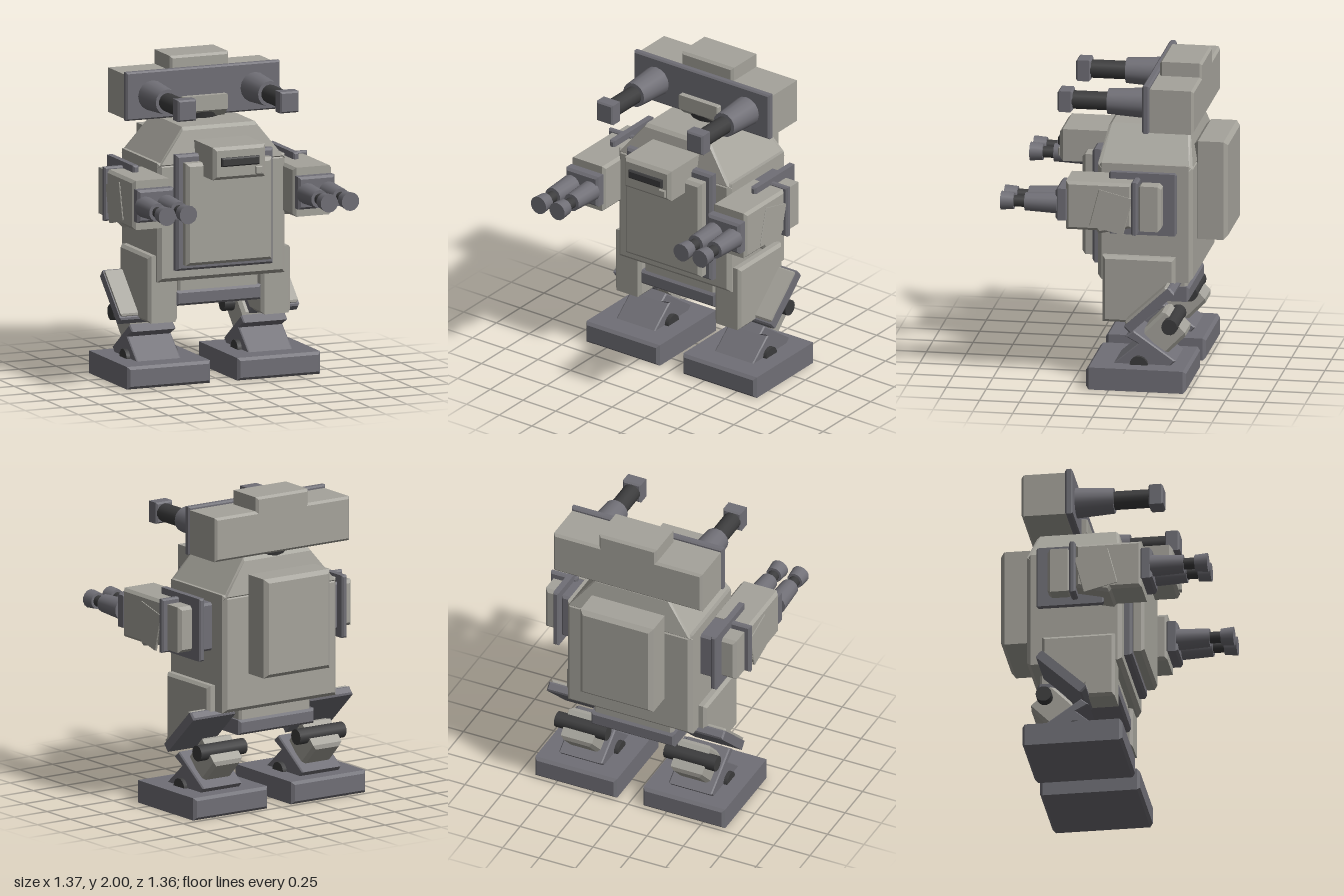
import * as THREE from 'three';

const mat = (name, color) => Object.assign(new THREE.MeshStandardMaterial({ color }), { name });

export function createModel() {
  const light = mat('light armour grey', 0xa5a39b);
  const dark = mat('dark frame grey', 0x706f76);
  const black = mat('black metal', 0x3c3c3d);
  const root = new THREE.Group();
  root.name = 'walkerRobot';

  const group = (name, parent = root) => {
    const g = new THREE.Group();
    g.name = name;
    parent.add(g);
    return g;
  };
  const add = (parent, name, geo, material) => {
    const m = new THREE.Mesh(geo, material);
    m.name = name;
    parent.add(m);
    return m;
  };
  // outline extruded with chamfered edges, kept within its nominal size
  const chamfered = (pts, depth, c) => new THREE.ExtrudeGeometry(
    new THREE.Shape(pts.map(p => new THREE.Vector2(...p))), {
      depth: depth - 2 * c, bevelEnabled: c > 0, bevelSegments: 1,
      bevelSize: c, bevelThickness: c, bevelOffset: -c,
    }).translate(0, 0, c);
  // box given by its ranges
  const box = ([x0, x1], [y0, y1], [z0, z1], c = 0.015) =>
    chamfered([[x0, y0], [x1, y0], [x1, y1], [x0, y1]], z1 - z0, c).translate(0, 0, z0);
  // side profile of (z, y) points swept across x
  const prism = (pts, [x0, x1], c = 0.012) =>
    chamfered(pts, x1 - x0, c).rotateY(-Math.PI / 2).translate(x1, 0, 0);
  // round part along z, from zBack to zFront
  const barrel = (x, y, [zb, zf], rBack, rFront, sides = 14) =>
    new THREE.CylinderGeometry(rFront, rBack, zf - zb, sides).toNonIndexed()
      .rotateX(Math.PI / 2).translate(x, y, (zb + zf) / 2);
  // round rod along x
  const rod = ([x0, x1], y, z, r) =>
    new THREE.CylinderGeometry(r, r, x1 - x0, 14).rotateZ(Math.PI / 2).translate((x0 + x1) / 2, y, z);

  // torso
  const torso = group('torso');
  add(torso, 'body', box([-0.43, 0.43], [0.65, 1.4], [-0.49, 0.105], 0.025), light);
  const hood = box([-0.43, 0.43], [1.37, 1.61], [-0.49, 0.105], 0.02);
  const p = hood.attributes.position;
  for (let i = 0; i < p.count; i++) {
    const t = Math.max(0, (p.getY(i) - 1.39) / 0.22);
    p.setX(i, p.getX(i) * (1 - 0.43 * t));
    p.setZ(i, -0.195 + (p.getZ(i) + 0.195) * (1 - 0.15 * t));
  }
  hood.computeVertexNormals();
  add(torso, 'shoulderHood', hood, light);
  add(torso, 'chestFrame', box([-0.33, 0.325], [0.725, 1.455], [0.09, 0.155]), dark);
  add(torso, 'chestPanel', box([-0.29, 0.29], [0.765, 1.41], [0.14, 0.225], 0.02), light);
  add(torso, 'chestBox', box([-0.178, 0.175], [1.325, 1.53], [0.04, 0.385], 0.02), light);
  add(torso, 'chestSlot', box([-0.13, 0.125], [1.41, 1.465], [0.37, 0.405], 0.008), black);
  add(torso, 'chestButton', box([0.1, 0.146], [1.35, 1.397], [0.37, 0.4], 0.005), light);
  add(torso, 'backpack', box([-0.25, 0.25], [0.885, 1.515], [-0.68, -0.47], 0.025), light);
  add(torso, 'pelvisBlock', box([-0.27, 0.27], [0.55, 0.67], [-0.43, 0.045]), light);
  add(torso, 'pelvisPlate', box([-0.29, 0.285], [0.485, 0.58], [-0.445, 0.06]), dark);

  // head
  const head = group('head');
  add(head, 'neck', new THREE.CylinderGeometry(0.155, 0.11, 0.14, 16).translate(0, 1.58, -0.31), black);
  add(head, 'headBox', box([-0.51, 0.51], [1.63, 1.91], [-0.51, -0.22]), light);
  add(head, 'headCap', box([-0.198, 0.198], [1.85, 2], [-0.51, -0.245]), light);
  add(head, 'facePlate', box([-0.52, 0.518], [1.625, 1.93], [-0.235, -0.188], 0.01), dark);
  add(head, 'chin', prism([[-0.2, 1.615], [-0.15, 1.66], [-0.15, 1.755], [-0.2, 1.755]], [-0.15, 0.15], 0.006), light);

  for (const s of [-1, 1]) {
    const side = s > 0 ? 'left' : 'right';
    const X = (a, b) => (s > 0 ? [a, b] : [-b, -a]);

    // telescopic eyes
    const eye = group(side + 'Eye', head);
    add(eye, 'eyeHousing', barrel(s * 0.345, 1.775, [-0.2, 0.05], 0.096, 0.08, 16), dark);
    add(eye, 'eyeTube', barrel(s * 0.345, 1.775, [0.04, 0.28], 0.058, 0.058), black);
    add(eye, 'eyeBlock', box(X(0.283, 0.407), [1.708, 1.842], [0.268, 0.36], 0.01), dark);

    // arm with twin guns
    const arm = group(side + 'Arm');
    add(arm, 'shoulderBlock', box(X(0.41, 0.53), [1.03, 1.335], [-0.36, -0.04]), dark);
    add(arm, 'shoulderPlate', box(X(0.522, 0.56), [0.985, 1.382], [-0.41, 0.012], 0.01), dark);
    add(arm, 'forearm', prism([[0.265, 1.03], [0.265, 1.34], [-0.15, 1.34], [-0.15, 1.055],
      [0.06, 1.01], [0.075, 1.03]], X(0.413, 0.67), 0.018), light);
    add(arm, 'elbowPlate', box(X(0.5, 0.685), [1.015, 1.355], [-0.187, -0.146], 0.01), dark);
    add(arm, 'elbowBox', box(X(0.54, 0.655), [1.035, 1.325], [-0.328, -0.18], 0.02), light);
    const wedge = box(X(0.66, 0.676), [-0.121, 0.121], [-0.11, 0.11], 0.004);
    const guard = add(arm, 'elbowGuard', wedge, light);
    guard.position.set(0, 1.155, -0.02);
    guard.rotation.x = -0.25;
    add(arm, 'gunMount', box(X(0.42, 0.665), [1.085, 1.29], [0.25, 0.33]), dark);
    for (const x of [0.475, 0.618]) {
      const gun = group('gun', arm);
      add(gun, 'gunSleeve', barrel(s * x, 1.185, [0.32, 0.525], 0.067, 0.057), dark);
      add(gun, 'gunBarrel', barrel(s * x, 1.185, [0.515, 0.605], 0.036, 0.036), black);
      add(gun, 'gunTip', barrel(s * x, 1.185, [0.595, 0.676], 0.052, 0.059), dark);
    }

    // leg
    const leg = group(side + 'Leg');
    add(leg, 'thigh', prism([[0.068, 0.39], [0.068, 0.815], [-0.387, 0.815], [-0.387, 0.63],
      [-0.13, 0.39]], X(0.283, 0.48), 0.018), light);
    const knee = group('kneeGuard', leg);
    knee.position.set(0, 0.518, -0.243);
    knee.rotation.x = 0.75;
    add(knee, 'kneeFrame', box(X(0.285, 0.605), [-0.037, 0.022], [-0.195, 0.195], 0.01), dark);
    add(knee, 'kneePanel', box(X(0.3, 0.598), [0, 0.038], [-0.18, 0.175], 0.01), light);
    const shin = add(leg, 'shin', box(X(0.27, 0.485), [-0.095, 0.095], [-0.105, 0.105], 0.02), light);
    shin.position.set(0, 0.337, -0.325);
    shin.rotation.x = -0.78;
    add(leg, 'kneeRod', rod(X(0.2, 0.55), 0.393, -0.365, 0.05), black);
    add(leg, 'ankleBracket', prism([[0, 0.13], [-0.165, 0.272], [-0.085, 0.315], [-0.135, 0.355],
      [-0.4, 0.17], [-0.36, 0.13]], X(0.228, 0.525), 0.008), dark);
    add(leg, 'ankleRod', rod(X(0.2, 0.55), 0.14, -0.172, 0.057), black);
    add(leg, 'foot', box(X(0.09, 0.652), [0, 0.142], [-0.485, 0.142], 0.018), dark);
  }
  return root;
}
